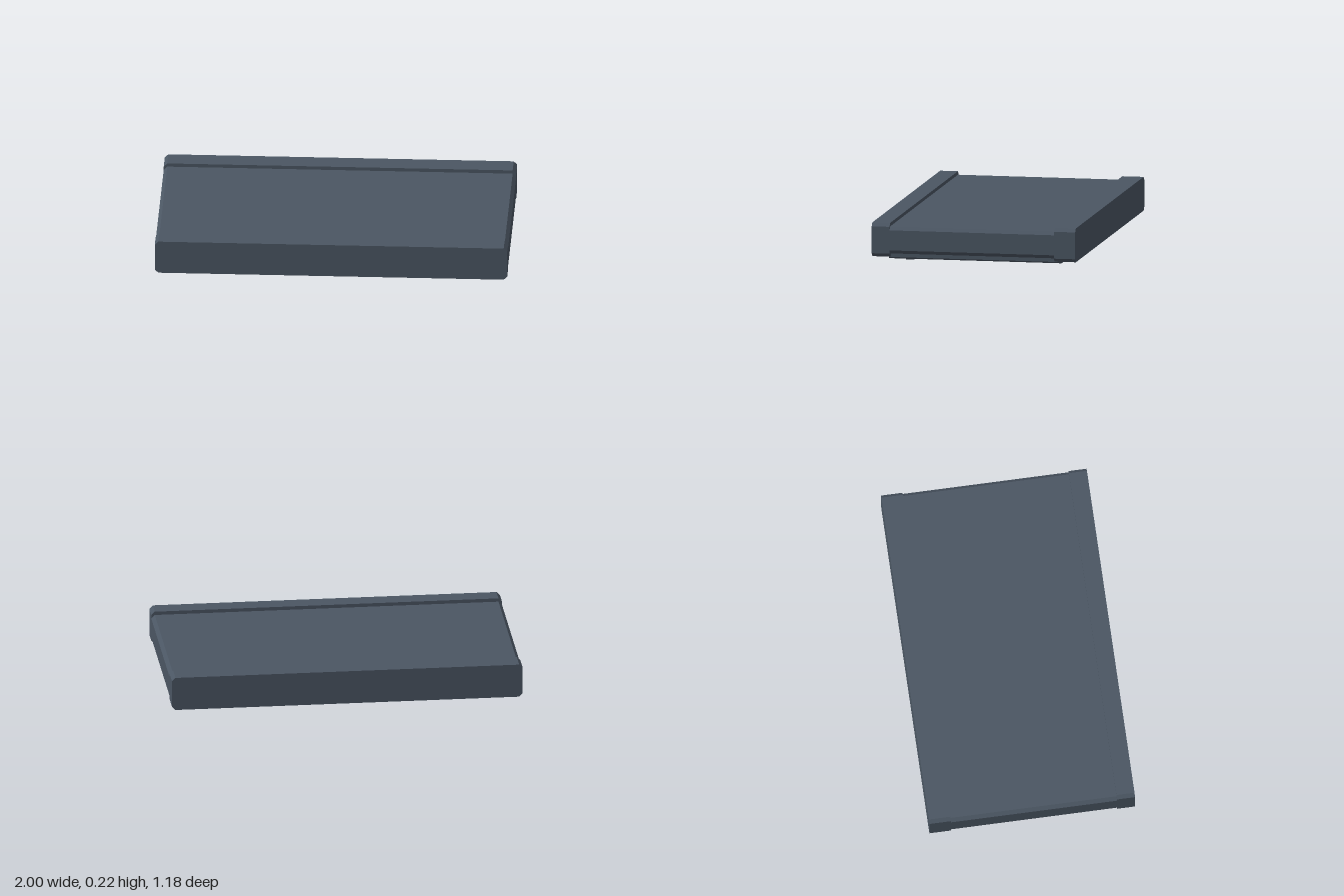
import * as THREE from 'three';

// Octagonal (chamfered) section in x/y, extruded along z
function chamferedBar(x0, x1, y0, y1, z0, z1, cTop, cBottom) {
  const s = new THREE.Shape();
  s.moveTo(x0 + cBottom, y0);
  s.lineTo(x1 - cBottom, y0);
  s.lineTo(x1, y0 + cBottom);
  s.lineTo(x1, y1 - cTop);
  s.lineTo(x1 - cTop, y1);
  s.lineTo(x0 + cTop, y1);
  s.lineTo(x0, y1 - cTop);
  s.lineTo(x0, y0 + cBottom);
  s.closePath();
  const g = new THREE.ExtrudeGeometry(s, { depth: z1 - z0, bevelEnabled: false });
  g.translate(0, 0, z0);
  return g;
}

export function createModel() {
  const group = new THREE.Group();
  group.name = 'floorPanel';
  const slate = new THREE.MeshStandardMaterial({ color: 0x4b5663 });
  slate.name = 'slateGrey';

  const add = (name, ...dims) => {
    const mesh = new THREE.Mesh(chamferedBar(...dims), slate);
    mesh.name = name;
    group.add(mesh);
  };

  // Main deck between the two raised edge rails
  add('deck', -1, 1, 0.05, 0.205, -0.465, 0.485, 0.02, 0.02);
  add('frontRail', -1, 1, 0.031, 0.225, 0.485, 0.588, 0.02, 0.02);
  add('backRail', -1, 1, 0.031, 0.225, -0.588, -0.465, 0.02, 0.02);

  // Cross ribs running front to back beneath the deck
  for (const x of [-0.91, 0, 0.91]) {
    add('crossRib', x - 0.042, x + 0.042, 0.017, 0.06, -0.498, 0.498, 0, 0.008);
  }

  // Each bay has a raised underside plate and a deep rib along its front
  for (const side of [-1, 1]) {
    const x0 = side < 0 ? -0.875 : 0.05;
    const x1 = side < 0 ? -0.05 : 0.875;
    add('frontLongRib', x0, x1, 0, 0.06, 0.37, 0.415, 0, 0.007);
    add('undersidePlate', x0 + 0.025, x1 - 0.025, 0.024, 0.06, -0.35, 0.35, 0, 0);
  }
  return group;
}
